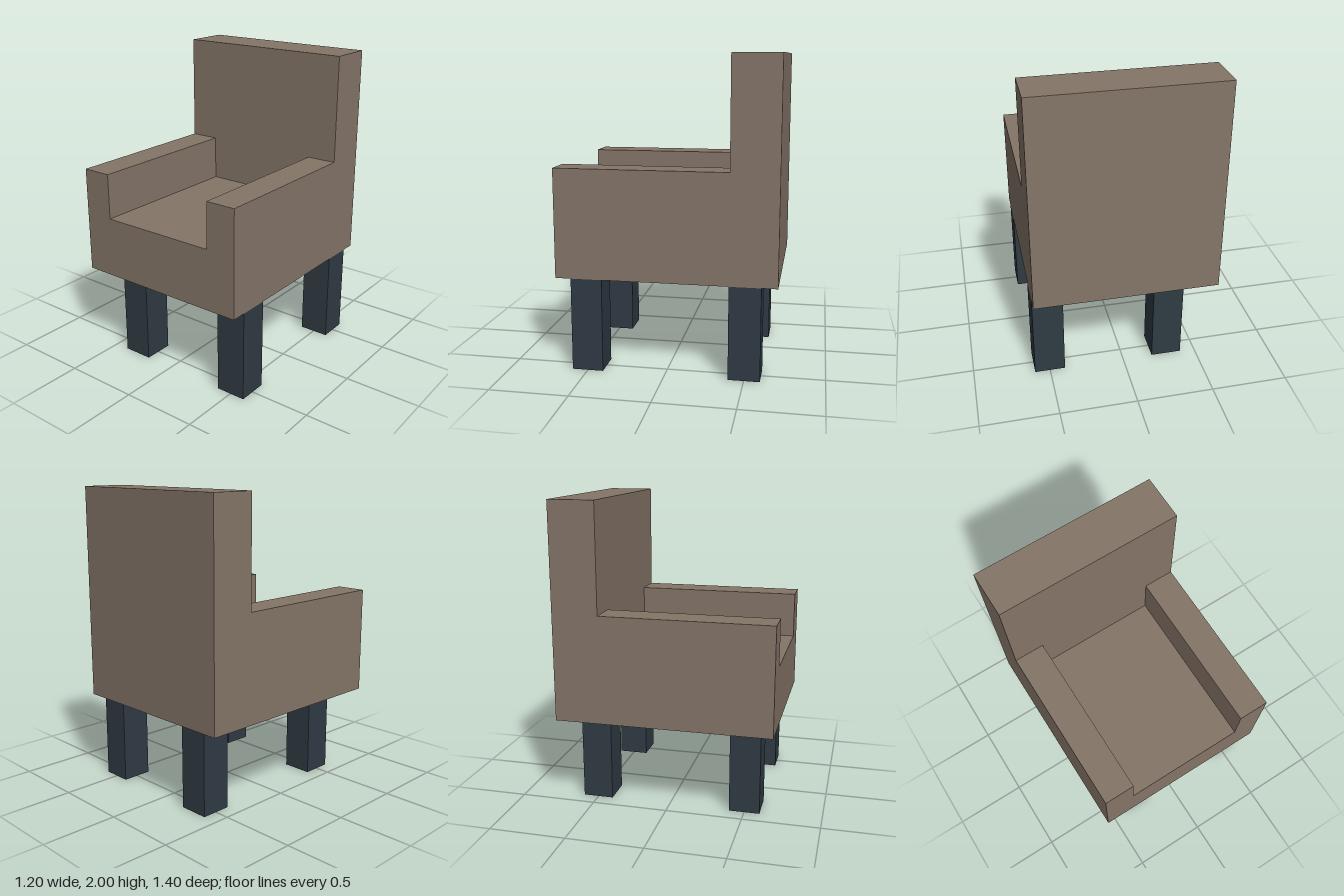
import * as THREE from 'three';

export function createModel() {
  const chair = new THREE.Group();
  chair.name = 'armchair';
  const fabric = new THREE.MeshStandardMaterial({ color: 0x857568, flatShading: true });
  const wood = new THREE.MeshStandardMaterial({ color: 0x303b44, flatShading: true });

  // Adds a box given by its minimum and maximum corners
  function addBox(name, material, min, max) {
    const size = max.map((v, i) => v - min[i]);
    const mesh = new THREE.Mesh(new THREE.BoxGeometry(...size), material);
    mesh.position.set(...max.map((v, i) => (v + min[i]) / 2));
    mesh.name = name;
    chair.add(mesh);
  }

  // Seat and armrests: one U-shaped section extruded from back to front
  const section = new THREE.Shape([
    [-0.6, 0.6], [0.6, 0.6], [0.6, 1.3], [0.4, 1.3],
    [0.4, 1], [-0.4, 1], [-0.4, 1.3], [-0.6, 1.3],
  ].map(([x, y]) => new THREE.Vector2(x, y)));
  const seat = new THREE.Mesh(
    new THREE.ExtrudeGeometry(section, { depth: 1.1, bevelEnabled: false }), fabric);
  seat.position.z = -0.4;
  seat.name = 'seatAndArmrests';
  chair.add(seat);

  // Backrest, reaching down to the underside of the seat
  addBox('backrest', fabric, [-0.6, 0.6, -0.7], [0.6, 2, -0.4]);

  // Legs: the pairs sit off-centre, shifted towards +x
  for (const [side, x] of [['Right', -0.4], ['Left', 0.4]]) {
    for (const [end, z] of [['front', 0.4], ['back', -0.6]]) {
      addBox(`${end}${side}Leg`, wood, [x, 0, z], [x + 0.2, 0.6, z + 0.2]);
    }
  }
  return chair;
}
